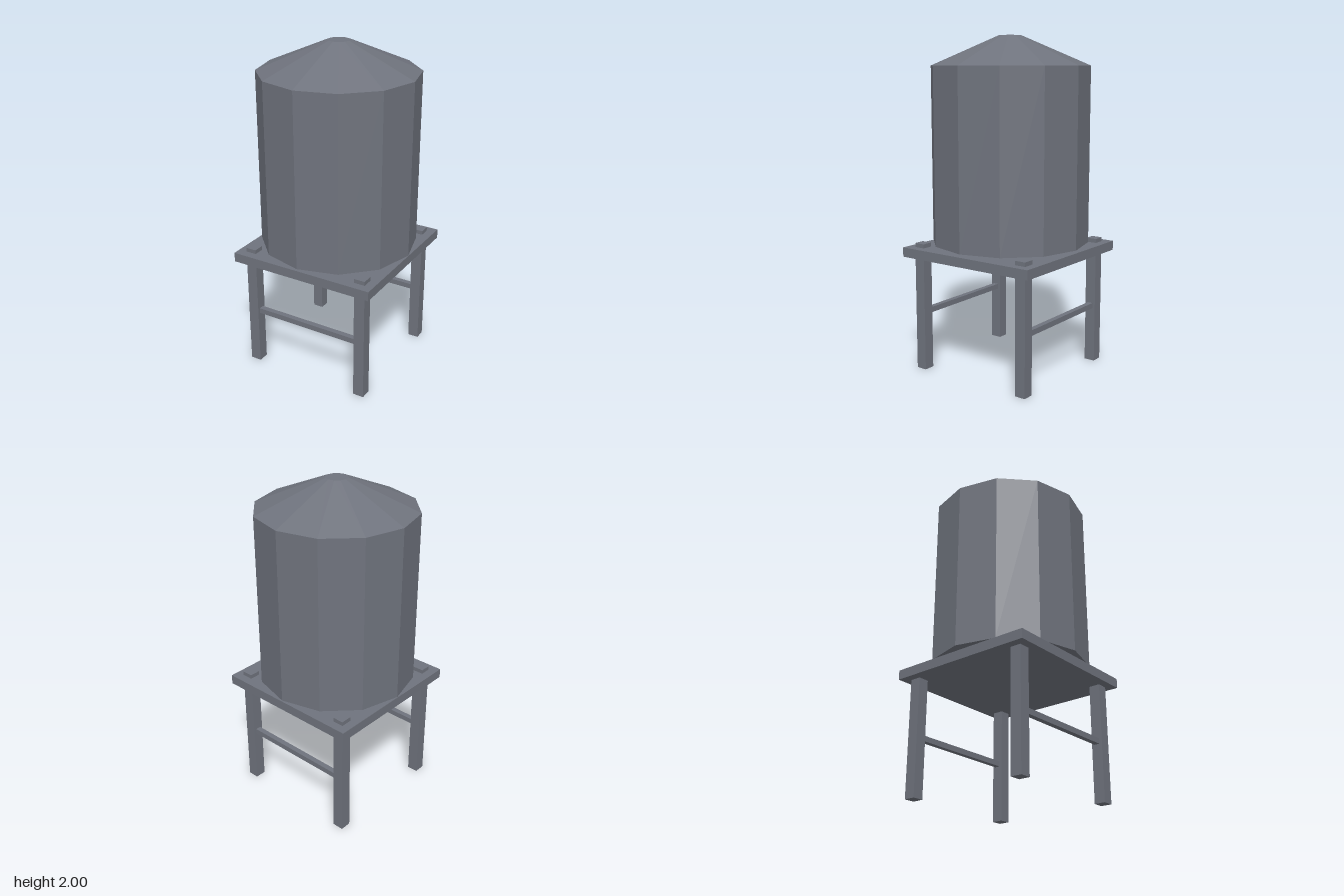
import * as THREE from 'three';

export function createModel() {
  const model = new THREE.Group();
  const material = new THREE.MeshStandardMaterial({ color: 0x6f737d, flatShading: true });

  const add = (name, geometry, x, y, z) => {
    const mesh = new THREE.Mesh(geometry, material);
    mesh.name = name;
    mesh.position.set(x, y, z);
    model.add(mesh);
  };

  const legOffset = 0.371;
  const legHeight = 0.78;
  const eaves = 1.826;
  const top = 2;
  const tankRadius = 0.473;

  // Four square legs, poking through the platform
  const legGeometry = new THREE.BoxGeometry(0.067, legHeight, 0.067);
  for (const sx of [-1, 1]) {
    for (const sz of [-1, 1]) {
      const name = (sz > 0 ? 'front' : 'back') + (sx > 0 ? 'Left' : 'Right') + 'Leg';
      add(name, legGeometry, sx * legOffset, legHeight / 2, sz * legOffset);
    }
  }

  // Thin square braces joining the legs at front and back
  const braceGeometry = new THREE.BoxGeometry(2 * legOffset, 0.033, 0.033);
  add('frontBrace', braceGeometry, 0, 0.355, legOffset);
  add('backBrace', braceGeometry, 0, 0.355, -legOffset);

  // Square platform
  add('platform', new THREE.BoxGeometry(0.912, 0.057, 0.912), 0, 0.727, 0);

  // Twelve-sided tank resting on the leg tops
  const tankHeight = eaves - legHeight;
  add('tank', new THREE.CylinderGeometry(tankRadius, tankRadius, tankHeight, 12), 0, legHeight + tankHeight / 2, 0);

  // Truncated cone roof, open below where it meets the tank's own lid
  const profile = [
    new THREE.Vector2(tankRadius, 0),
    new THREE.Vector2(0.066, top - eaves),
    new THREE.Vector2(0, top - eaves),
  ];
  add('roof', new THREE.LatheGeometry(profile, 12), 0, eaves, 0);

  return model;
}
